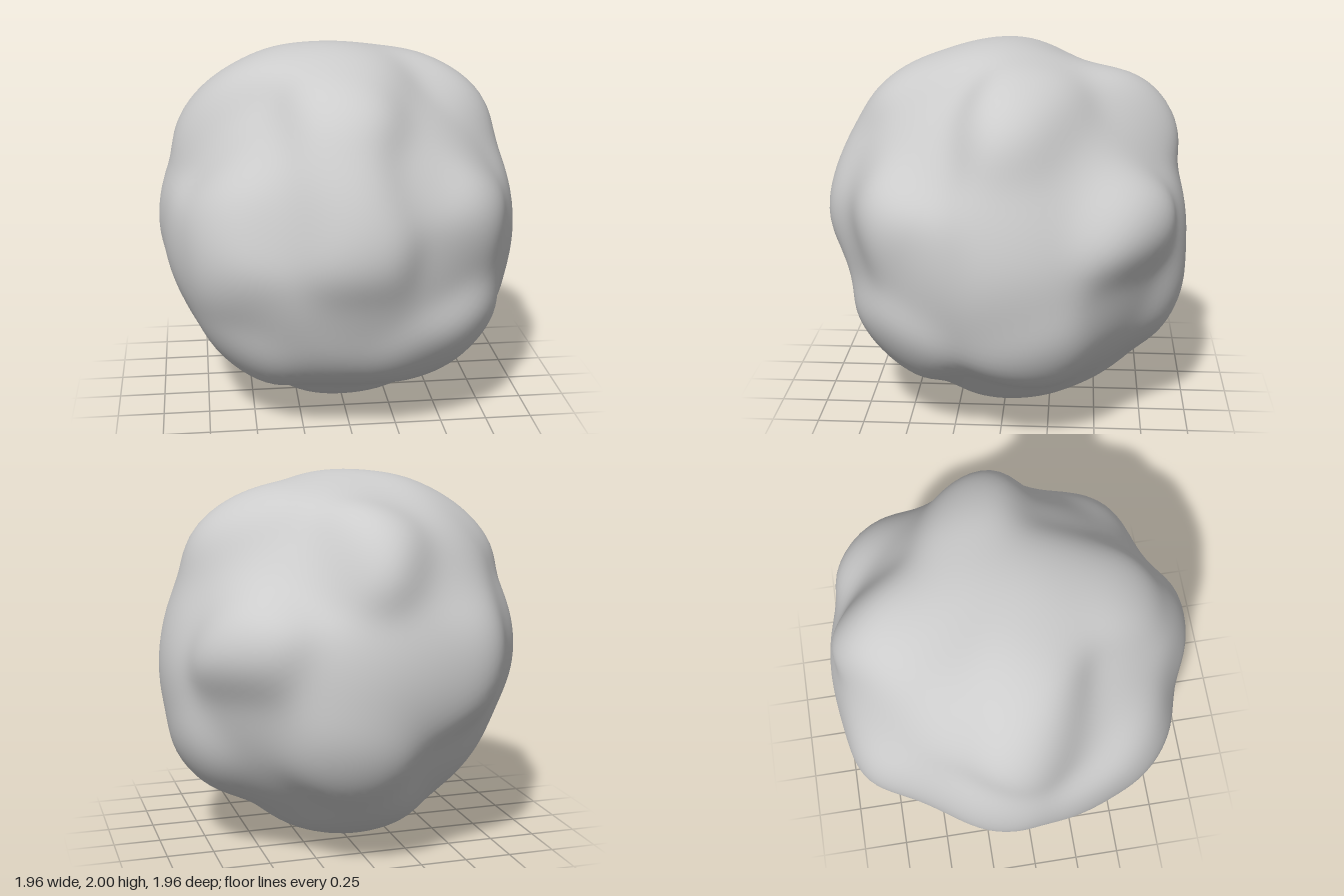
import * as THREE from 'three';
import { mergeVertices } from 'three/addons/utils/BufferGeometryUtils.js';

const BASE_RADIUS = 0.92;   // plain sphere under the lumps
const BASE_WEIGHT = 0.06;
const SHARPNESS = 32;       // higher means narrower lumps
const RELIEF = 1.08;        // makes up for the smoothing of the blend

// Peaks of the lumps, measured from the centre of the boulder
const lumps = [
  // crown
  [-0.1, 1.0, 0.1], [-0.44, 0.94, -0.08], [0.12, 0.95, -0.22], [0.12, 0.93, 0.32],
  [0.5, 0.87, -0.22], [0, 0.83, -0.78], [0.74, 0.77, -0.08], [-0.06, 0.82, 0.62],
  [-0.75, 0.77, 0.04], [-0.48, 0.75, -0.48],
  // waist
  [0, 0.13, 0.98], [-0.08, 0.45, 0.88], [0.72, 0.24, 0.67], [-0.68, 0.3, 0.65],
  [-0.69, -0.05, 0.73], [-0.91, 0, 0.33], [-0.95, 0.1, -0.3], [-0.63, 0.16, -0.88],
  [0.15, 0.02, -0.97], [0.75, 0.27, -0.73], [0.97, -0.08, -0.08], [0.91, 0.3, -0.07],
  [-0.42, 0.5, -0.73],
  // underside
  [0.25, -0.37, -0.93], [0.86, -0.52, -0.25], [0.63, -0.5, 0.59], [0.28, -0.62, 0.68],
  [-0.1, -0.6, 0.71], [-0.56, -0.6, 0.55], [-0.82, -0.48, 0], [0, -1, 0.05],
  [0.3, -0.94, -0.08], [-0.17, -0.97, 0], [0, -0.83, -0.56], [-0.5, -0.5, -0.62],
  [0.5, -0.6, -0.52],
];

// Bottoms of the hollows between them
const hollows = [
  [0.36, 0.42, 0.71], [0.47, 0, 0.74], [0.83, 0, 0.4], [0.64, 0.5, 0.36],
  [0.74, 0.42, -0.34], [0.3, 0.6, -0.62], [-0.36, 0.25, 0.79], [-0.64, 0.52, 0.3],
  [0.5, -0.76, 0], [-0.46, -0.79, 0], [0, -0.79, 0.4], [-0.75, 0.2, -0.56],
  [-0.42, -0.25, 0.77], [-0.14, 0.85, -0.42], [0.42, 0.7, 0.36], [-0.48, 0.56, 0.53],
  [0.64, -0.2, -0.66], [0.56, 0.56, -0.46], [-0.3, 0.08, -0.93], [-0.74, -0.1, -0.55],
  [0, -0.25, 0.86],
];

const controls = [...lumps, ...hollows].map((p) => {
  const dir = new THREE.Vector3(...p);
  const radius = BASE_RADIUS + RELIEF * (dir.length() - BASE_RADIUS);
  return { dir: dir.normalize(), radius };
});

// Radius in one direction: blend of nearby controls over the plain sphere
function radiusAt(dir) {
  let weight = BASE_WEIGHT, sum = BASE_WEIGHT * BASE_RADIUS;
  for (const c of controls) {
    const w = Math.exp(SHARPNESS * (dir.dot(c.dir) - 1));
    weight += w;
    sum += w * c.radius;
  }
  return sum / weight;
}

export function createModel() {
  const group = new THREE.Group();
  group.name = 'boulder';

  const stone = new THREE.MeshStandardMaterial({ color: 0xcccccc });
  stone.name = 'grey stone';

  // Welded sphere so the normals come out smooth
  let geometry = new THREE.IcosahedronGeometry(1, 24);
  geometry.deleteAttribute('normal');
  geometry.deleteAttribute('uv');
  geometry = mergeVertices(geometry, 1e-4);

  // Push every vertex out to the lumpy surface
  const pos = geometry.attributes.position;
  const v = new THREE.Vector3();
  for (let i = 0; i < pos.count; i++) {
    v.fromBufferAttribute(pos, i).normalize();
    v.multiplyScalar(radiusAt(v));
    pos.setXYZ(i, v.x, v.y, v.z);
  }
  geometry.computeVertexNormals();

  const mesh = new THREE.Mesh(geometry, stone);
  mesh.name = 'lumpyStone';
  mesh.position.y = 1;
  group.add(mesh);
  return group;
}
